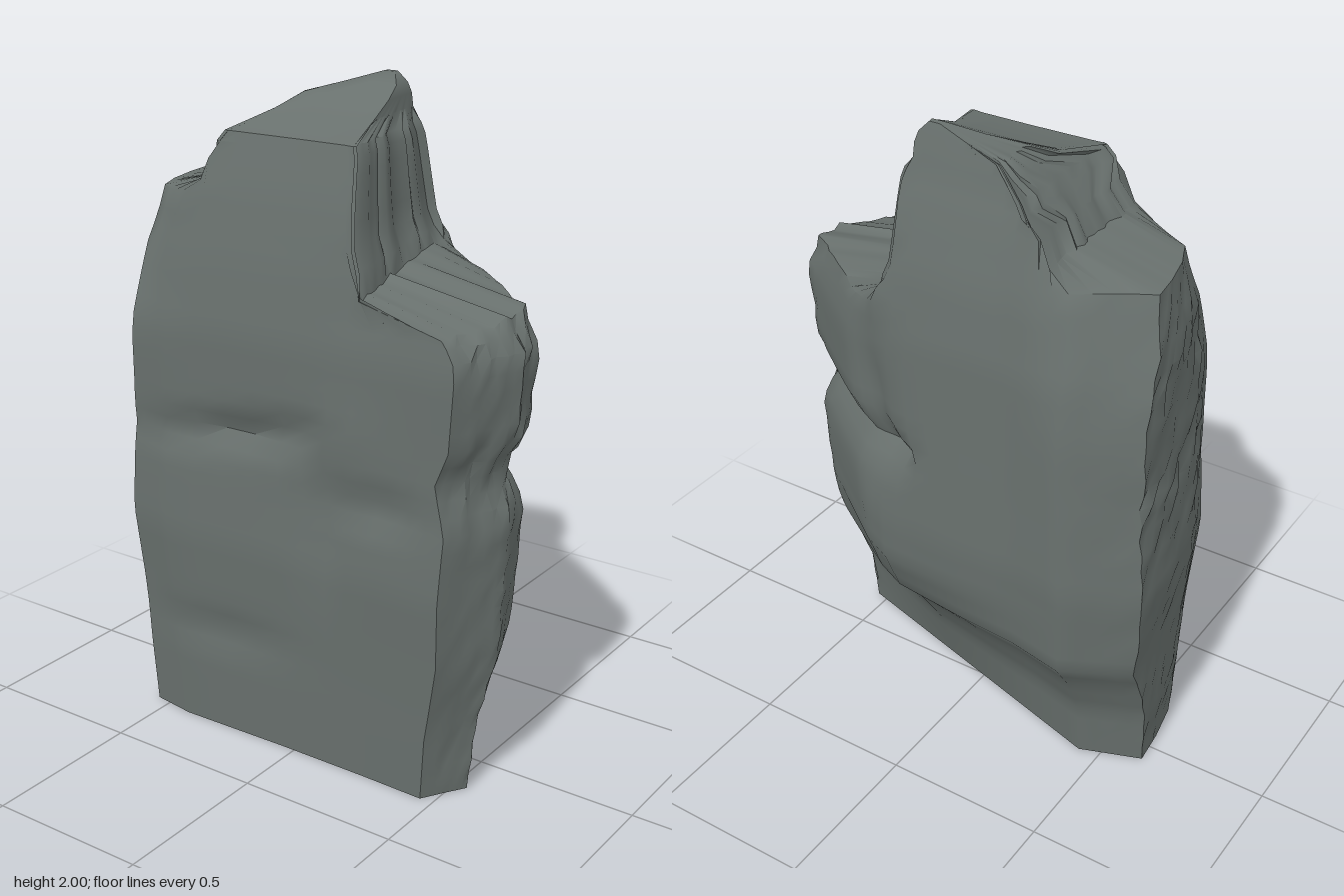
import * as THREE from 'three';
import { toCreasedNormals } from 'three/addons/utils/BufferGeometryUtils.js';

// Piecewise-linear lookup through [y, value] points
function lerpTable(points, y) {
  for (let i = 1; i < points.length; i++) {
    const [y0, a] = points[i - 1], [y1, b] = points[i];
    if (y <= y1) return a + (b - a) * Math.max(0, (y - y0) / (y1 - y0));
  }
  return points[points.length - 1][1];
}
const bump = (d, width) => Math.exp(-(d * d) / (width * width));
const noise = (a, b) => {
  const s = Math.sin(a * 127.1 + b * 311.7) * 43758.5453;
  return (s - Math.floor(s)) * 2 - 1;
};

// Extents of the rock at each height
const LEFT = [[0, -0.62], [0.4, -0.64], [0.7, -0.665], [1, -0.65], [1.5, -0.64], [1.66, -0.61]];
const RIGHT = [[0, 0.54], [0.2, 0.56], [0.45, 0.61], [0.85, 0.635], [1, 0.6], [1.1, 0.645], [1.33, 0.665], [1.44, 0.61]];
const FRONT = [[0, 0.28], [0.3, 0.3], [0.65, 0.33], [1, 0.32], [1.3, 0.33], [1.5, 0.31], [1.7, 0.275],
  [1.86, 0.23], [1.9, 0.05], [1.94, -0.04], [1.97, -0.11], [2, -0.16]];
const BACK = [[0, -0.13], [0.2, -0.16], [0.35, -0.23], [0.45, -0.3], [0.75, -0.33], [1.4, -0.325],
  [1.6, -0.3], [1.8, -0.25], [2, -0.18]];
// The upper tower is cut off at a cliff on one side and a shelf on the other
const CLIFF = [[1.44, 0.8], [1.5, 0.25], [1.6, 0.21], [1.85, 0.19], [1.89, 0.16], [1.96, 0.16], [2, 0.12]];
const SHELF = [[1.66, -0.7], [1.71, -0.35], [1.78, -0.31], [1.87, -0.24], [1.94, -0.17], [2, 0.02]];

// Plan outline: 0..1 across x and 0..1 from back to front
const OUTLINE = [[0.06, 0.95], [0.18, 1], [0.5, 0.98], [0.75, 0.98], [0.93, 0.99], [0.965, 0.83], [1, 0.68],
  [0.98, 0.5], [0.85, 0.3], [0.73, 0.12], [0.65, 0.04], [0.45, 0.03], [0.3, 0.04], [0.16, 0],
  [0, 0.17], [0.01, 0.45], [0.03, 0.75]];
const SPLIT = 4;

function rockPoint(index, y) {
  const seg = Math.floor(index / SPLIT), t = (index % SPLIT) / SPLIT;
  const a = OUTLINE[seg], b = OUTLINE[(seg + 1) % OUTLINE.length];
  const u = a[0] + (b[0] - a[0]) * t;
  let v = a[1] + (b[1] - a[1]) * t;
  // The foot is cut straight and slantwise along its back
  if (seg >= 6 && seg <= 12) {
    const cut = Math.max(0, 1 - y / 0.6);
    v = THREE.MathUtils.lerp(v, 0.68 * (u - 0.16) / 0.84, cut);
  }
  let x = THREE.MathUtils.lerp(lerpTable(LEFT, y), lerpTable(RIGHT, y), u);
  let z = THREE.MathUtils.lerp(lerpTable(BACK, y), lerpTable(FRONT, y), v);
  // Shoulder corners round off towards the shelf
  const shoulder = THREE.MathUtils.smoothstep(y, 1.2, 1.66) * Math.max(0, 1 - u / 0.25);
  if (y < 1.8) z -= (v - 0.45) * 0.25 * shoulder;

  if (v > 0.9 && y < 1.6) {
    // Front: long cracks, and a rounded knob near the middle
    const crack = 1.03 + 0.15 * x;
    if (x < 0.1) z -= 0.04 * bump(y - crack, 0.045) * bump(x + 0.15, 0.35);
    z -= 0.02 * bump(y - 0.34, 0.05) * bump(x + 0.25, 0.2);
    z -= 0.03 * bump(x - 0.12, 0.05) * bump(y - 0.8, 0.2);
    z += 0.015 * bump(x - 0.2, 0.12) * bump(y - 1.05, 0.13);
    z -= 0.03 * bump(x - 0.32, 0.14) * bump(y - 0.88, 0.05);
  } else if (v < 0.6 && u > 0.55 && y < 1.44) {
    // Back: crack round the slanted side and a groove beside the main mass
    const dent = 0.035 * bump(y - 1, 0.05) + 0.045 * bump(u - 0.66, 0.05) * bump(y - 1.1, 0.28);
    x -= dent * 0.5;
    z += dent;
  }
  // Ragged edges down both ends, roughest along the side cracks
  if (y > 0.02 && (u < 0.05 || u > 0.94) && y < 1.65) {
    const rough = 0.004 + 0.01 * (bump(y - 1, 0.12) + bump(y - 1.4, 0.1));
    x += rough * noise(index, Math.round(y * 50));
  }
  const cliff = lerpTable(CLIFF, y) - 0.15 * (0.25 - z);
  if (x > cliff) x = cliff + (y > 1.5 && y < 1.9 ? 0.014 * noise(index, 3) : 0);
  const shelf = lerpTable(SHELF, y);
  if (x < shelf) x = shelf + (y < 1.95 ? 0.012 * noise(index, 7) : 0);
  // The ledge under the cliff dips towards the front and has a chipped rim
  const ledge = bump(y - 1.47, 0.07) * THREE.MathUtils.smoothstep(x, 0.05, 0.25);
  const dip = ledge * (0.12 * z - 0.012 * noise(index, 5));
  return [x, y - dip, z];
}

function rockGeometry() {
  const heights = [];
  for (let y = 0; y < 1.42; y += 0.05) heights.push(y);
  heights.push(1.44, 1.5, 1.55, 1.6, 1.66, 1.71, 1.78, 1.83, 1.86, 1.9, 1.94, 1.97, 2);
  const count = OUTLINE.length * SPLIT;
  const positions = [], indices = [];
  for (const y of heights) for (let i = 0; i < count; i++) positions.push(...rockPoint(i, y));

  const last = (heights.length - 1) * count;
  const base = positions.length / 3, top = base + 1;
  positions.push(-0.08, 0, 0.12, 0.05, 2, -0.17);
  for (let i = 0; i < count; i++) {
    const j = (i + 1) % count;
    for (let row = 0; row < last; row += count) {
      indices.push(row + i, row + j, row + count + j, row + i, row + count + j, row + count + i);
    }
    indices.push(base, j, i, top, last + i, last + j);
  }
  const geometry = new THREE.BufferGeometry();
  geometry.setAttribute('position', new THREE.Float32BufferAttribute(positions, 3));
  geometry.setIndex(indices);
  return toCreasedNormals(geometry, 0.8);
}

export function createModel() {
  const stone = new THREE.MeshStandardMaterial({ color: 0x69716e });
  stone.name = 'grey stone';
  const rock = new THREE.Mesh(rockGeometry(), stone);
  rock.name = 'rock';
  const model = new THREE.Group();
  model.name = 'standing rock';
  model.add(rock);
  return model;
}
